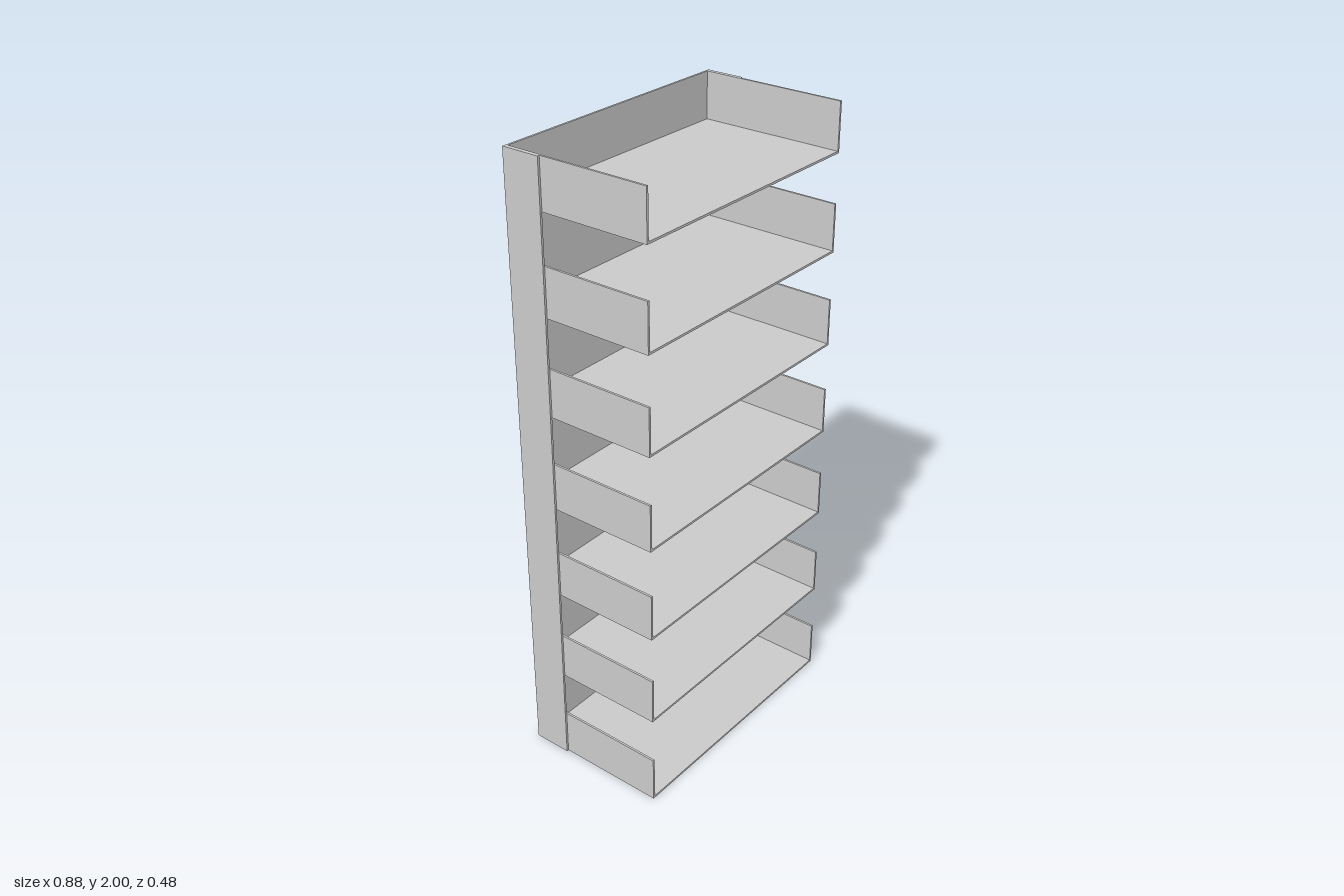
import * as THREE from 'three';

const HEIGHT = 2, T = 0.007;
const BACK = -0.24, FRONT = 0.24;
const HALF = 0.44;          // outer half width of the back frame
const TRAY_HALF = HALF - T; // trays fit inside the frame flanges
const FLANGE_DEPTH = 0.125;
const TRAYS = 7, TRAY_H = 0.154;

export function createModel() {
  const model = new THREE.Group();
  model.name = 'shelfUnit';
  const material = new THREE.MeshStandardMaterial({ color: 0xcccccc });

  // Box given by its minimum and maximum corners
  const box = (name, parent, [x0, y0, z0], [x1, y1, z1]) => {
    const mesh = new THREE.Mesh(new THREE.BoxGeometry(x1 - x0, y1 - y0, z1 - z0), material);
    mesh.position.set((x0 + x1) / 2, (y0 + y1) / 2, (z0 + z1) / 2);
    mesh.name = name;
    parent.add(mesh);
  };

  // Back frame: a full-height panel with a flange folded forward on each side
  const frame = new THREE.Group();
  frame.name = 'backFrame';
  model.add(frame);
  box('backPanel', frame, [-TRAY_HALF, 0, BACK], [TRAY_HALF, HEIGHT, BACK + T]);
  box('leftFlange', frame, [TRAY_HALF, 0, BACK], [HALF, HEIGHT, BACK + FLANGE_DEPTH]);
  box('rightFlange', frame, [-HALF, 0, BACK], [-TRAY_HALF, HEIGHT, BACK + FLANGE_DEPTH]);

  // Trays: open at the front, each with a floor and two low sides
  const pitch = (HEIGHT - TRAY_H) / (TRAYS - 1);
  const inner = TRAY_HALF - T, z0 = BACK + T;
  for (let i = 0; i < TRAYS; i++) {
    const tray = new THREE.Group();
    tray.name = `tray${i + 1}`;
    tray.position.y = i * pitch;
    model.add(tray);
    box('trayFloor', tray, [-inner, 0, z0], [inner, T, FRONT]);
    box('trayLeftSide', tray, [inner, 0, z0], [TRAY_HALF, TRAY_H, FRONT]);
    box('trayRightSide', tray, [-TRAY_HALF, 0, z0], [-inner, TRAY_H, FRONT]);
  }
  return model;
}
